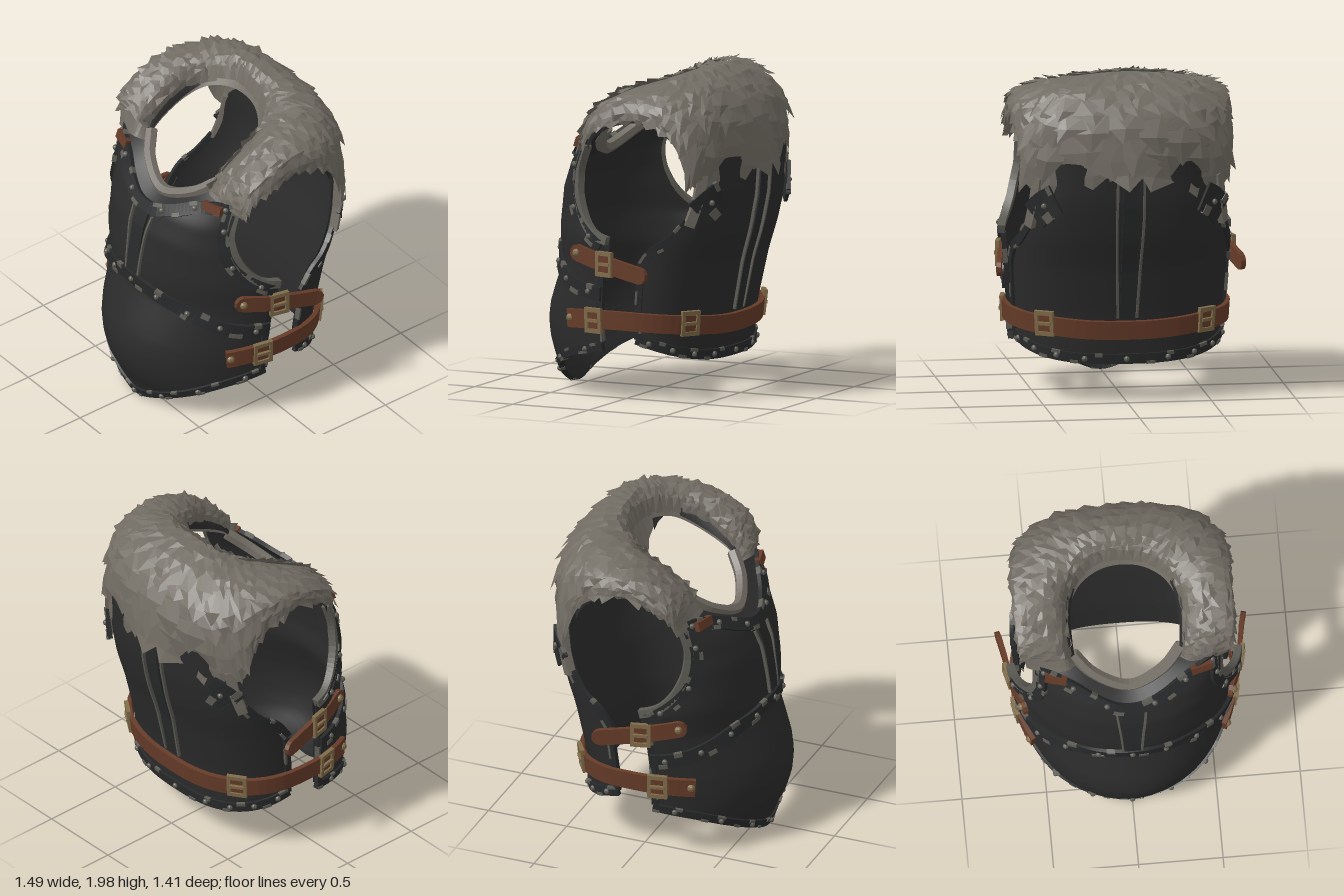
import * as THREE from 'three';

const mat = (name, color, flatShading = false) =>
  new THREE.MeshStandardMaterial({ name, color, flatShading, side: THREE.DoubleSide });
const V = (x, y, z) => new THREE.Vector3(x, y, z);
const rad = Math.PI / 180;

// Small seeded random
let seed = 7;
const rnd = () => (seed = (seed * 16807) % 2147483647) / 2147483647;

// Piecewise linear lookup
function look(table, y) {
  if (y <= table[0][0]) return table[0][1];
  for (let i = 1; i < table.length; i++) {
    const [y0, v0] = table[i - 1], [y1, v1] = table[i];
    if (y <= y1) return v0 + (v1 - v0) * (y - y0) / (y1 - y0);
  }
  return table[table.length - 1][1];
}
// Torso half widths, front depth and back depth by height
const WIDTH = [[0, .6], [.3, .62], [.6, .635], [.95, .665], [1.1, .63], [1.3, .6], [1.7, .6]];
const BACK_WIDTH = [[.2, .61], [.6, .635], [.95, .655], [1.7, .63]];
const FRONT = [[0, .575], [.1, .61], [.2, .66], [.3, .69], [.4, .7], [.5, .685], [.6, .65], [.78, .58], [.9, .59], [1, .58], [1.2, .55], [1.35, .49], [1.5, .38]];
const BACK = [[.2, .45], [.5, .48], [.8, .54], [1, .6], [1.2, .64], [1.5, .66]];

// Torso surface: angle 0 is front centre, 180 is back centre
function torso(deg, y) {
  const s = Math.sin(deg * rad), c = Math.cos(deg * rad), front = c > 0;
  const n = look(front ? [[.9, 1.92], [1.5, 2.5]] : [[.5, 2.6], [1.1, 3.1]], y);
  const pw = v => Math.sign(v) * Math.abs(v) ** (2 / n);
  return V(look(front ? WIDTH : BACK_WIDTH, y) * pw(s), y, look(front ? FRONT : BACK, y) * pw(c));
}
function torsoNormal(deg, y) {
  const da = torso(deg + 3, y).sub(torso(deg - 3, y));
  const dy = torso(deg, y + .04).sub(torso(deg, y - .04));
  return da.cross(dy).normalize();
}
const mirror = pts => [...pts.slice(1).reverse().map(([a, y]) => [-a, y]), ...pts];
const spline = pts => new THREE.SplineCurve(pts.map(p => new THREE.Vector2(...p)));

function meshData(pos, idx) {
  const g = new THREE.BufferGeometry();
  g.setAttribute('position', new THREE.Float32BufferAttribute(pos, 3));
  if (idx) g.setIndex(idx);
  g.computeVertexNormals();
  return g;
}
// Surface grid from fn(s, t); s cross t points outward
function gridGeometry(fn, ns, nt) {
  const pos = [], idx = [];
  for (let i = 0; i <= ns; i++) for (let j = 0; j <= nt; j++) pos.push(...fn(i / ns, j / nt).toArray());
  for (let i = 0; i < ns; i++) for (let j = 0; j < nt; j++) {
    const a = i * (nt + 1) + j, b = a + nt + 1;
    idx.push(a, b, a + 1, b, b + 1, a + 1);
  }
  return meshData(pos, idx);
}
// Rectangular strip swept along frames {p, n}
function stripGeometry(frames, w, t) {
  const pos = [], idx = [], last = frames.length - 1;
  frames.forEach(({ p, n }, i) => {
    const tan = frames[Math.min(i + 1, last)].p.clone().sub(frames[Math.max(i - 1, 0)].p).normalize();
    const side = n.clone().cross(tan).normalize().multiplyScalar(w / 2);
    for (const [s, h] of [[-1, 0], [1, 0], [1, t], [-1, t]])
      pos.push(...p.clone().addScaledVector(side, s).addScaledVector(n, h).toArray());
  });
  for (let i = 0; i < last; i++) for (let k = 0; k < 4; k++) {
    const a = i * 4 + k, b = i * 4 + (k + 1) % 4;
    idx.push(a, b, a + 4, b, b + 4, a + 4);
  }
  const e = last * 4;
  idx.push(0, 2, 1, 0, 3, 2, e, e + 1, e + 2, e, e + 2, e + 3);
  return meshData(pos, idx);
}

export function createModel() {
  const model = new THREE.Group();
  const leather = mat('black leather', 0x2b2b2b), trim = mat('dark trim', 0x28292a, true);
  const worn = mat('worn edge grey', 0x5d5c55, true), fur = mat('grey fur', 0x716c63, true);
  const brown = mat('brown strap', 0x653b28, true), brass = mat('dull brass', 0x7f6b49, true);
  const add = (name, geo, m) => {
    const mesh = new THREE.Mesh(geo, m);
    mesh.name = name;
    model.add(mesh);
    return mesh;
  };

  // Strip lying on the torso, with optional worn chips on its edges and rivets
  function band(name, pts, { base = 0, w = .07, t = .025, off = 0, m = trim, chips = 0, rivets = 0, n = 40 } = {}) {
    const c = spline(pts);
    const frame = (u, extra = 0) => {
      const q = c.getPoint(u), nn = torsoNormal(q.x + base, q.y);
      return { p: torso(q.x + base, q.y).addScaledVector(nn, off + extra), n: nn };
    };
    const run = (u0, u1, k) => Array.from({ length: k + 1 }, (_, i) => frame(u0 + (u1 - u0) * i / k));
    add(name, stripGeometry(run(0, 1, n), w, t), m);
    for (let i = 0; i < chips; i++) {
      const u = (i + rnd() * .5) / chips, frames = run(u, u + (.25 + rnd() * .25) / chips, 4);
      const edge = (i % 2 ? .38 : -.38) * w;
      const tan = frames[4].p.clone().sub(frames[0].p).normalize();
      for (const f of frames) f.p.addScaledVector(f.n.clone().cross(tan), edge);
      add(name + 'Chip', stripGeometry(frames, w * .32, t + .005), worn);
    }
    for (let i = 0; i < rivets; i++) {
      const r = add(name + 'Rivet', new THREE.SphereGeometry(.018, 8, 6), worn);
      r.position.copy(frame((i + .5) / rivets, t).p);
    }
  }
  // Plate between a lower and an upper edge on the torso, with an inner face
  function plate(name, low, up, base, off) {
    const a = spline(mirror(low)), b = spline(mirror(up));
    for (const [part, depth] of [['', off], ['Inner', off - .03]])
      add(name + part, gridGeometry((s, v) => {
        const q = a.getPoint(s).lerp(b.getPoint(s), v);
        return torso(q.x + base, q.y).addScaledVector(torsoNormal(q.x + base, q.y), depth);
      }, 64, 20), leather);
  }

  // Plates
  const bellyLow = [[0, .02], [20, .09], [40, .18], [60, .26], [81, .31]];
  const bellyUp = [[0, .86], [20, .83], [40, .75], [60, .67], [81, .63]];
  const chestLow = [[0, .85], [10, .84], [20, .81], [30, .78], [40, .74], [50, .7], [62, .66], [72, .64], [81, .63]];
  const chestUp = [[0, 1.335], [15, 1.385], [28, 1.45], [44, 1.49], [57, 1.49], [59, 1.3], [66, 1.1], [75, .99], [86, .95]];
  const backLow = [0, 10, 20, 30, 40, 50, 60, 70, 80].map(d => [d, .25 + .12 * (d / 80) ** 2]);
  const backUp = [[0, 1.45], [15, 1.45], [30, 1.45], [47, 1.38], [50, 1.2], [54.5, 1.08], [64, .97], [74, .9], [80, .79]];
  plate('bellyPlate', bellyLow, bellyUp, 0, 0);
  plate('chestPlate', chestLow, chestUp, 0, .012);
  plate('backPlate', backLow, backUp, 180, 0);

  // Trims
  band('bellyHem', mirror(bellyLow), { w: .05, off: -.02, t: .033, chips: 16, rivets: 7, n: 60 });
  band('chestArchBand', mirror(chestLow), { w: .085, off: .008, chips: 12, rivets: 9, n: 60 });
  band('necklineBand', mirror(chestUp.slice(0, 5)), { w: .075, off: .008, chips: 10, rivets: 6, n: 50 });
  band('sternumBand', [[0, .9], [0, 1.1], [0, 1.31]], { w: .1, off: .012, t: .015, n: 12 });
  band('backHem', mirror(backLow), { base: 180, w: .06, off: -.012, chips: 12, rivets: 9, n: 50 });
  band('spineBand', [[0, .5], [0, .9], [0, 1.42]], { base: 180, w: .09, t: .012, n: 16 });
  for (const s of [-1, 1]) {
    const side = pts => pts.map(([a, y]) => [a * s, y]);
    band('sternumEdge', side([[5, .9], [5.2, 1.1], [6, 1.3]]), { w: .012, off: .014, t: .018, m: worn, n: 12 });
    band('spineEdge', side([[2.5, .5], [2.3, .9], [2.2, 1.42]]), { base: 180, w: .014, t: .018, m: worn, n: 16 });
    band('frontArmholeBand', side([[53, 1.47], [54, 1.3], [60, 1.12], [70, 1.0], [82, .92]]), { w: .07, off: .008, chips: 5, rivets: 3, n: 24 });
    band('frontArmholeFringe', side(chestUp.slice(4)), { w: .05, off: -.012, t: .045, m: worn, n: 24 });
    band('backArmholeFringe', side([[47, 1.36], [49.5, 1.2], [53, 1.06]]), { base: 180, w: .06, off: -.015, t: .05, m: fur, n: 16 });
    band('backArmholeBand', side(backUp.slice(5)), { base: 180, w: .055, off: -.01, chips: 3, n: 20 });
    band('shoulderBladeFlap', side([[32, 1.24], [40, 1.2], [48, 1.13]]), { base: 180, w: .18, off: .015, t: .02, chips: 2, rivets: 1, n: 8 });
    band('frontSideEdge', side([[80, .33], [80, .6], [81, .92]]), { w: .04, off: -.015, t: .03, chips: 3, n: 12 });
    band('backSideEdge', side([[79, .37], [79, .55], [79, .78]]), { base: 180, w: .04, off: -.015, t: .03, chips: 2, n: 12 });
  }

  // Buckle: square frame with a prong, facing along n
  const frameShape = new THREE.Shape([[-.06, -.075], [.06, -.075], [.06, .075], [-.06, .075]].map(p => new THREE.Vector2(...p)));
  frameShape.holes.push(new THREE.Path([[-.038, -.05], [-.038, .05], [.038, .05], [.038, -.05]].map(p => new THREE.Vector2(...p))));
  const frameGeo = new THREE.ExtrudeGeometry(frameShape, { depth: .025, bevelEnabled: false });
  function buckle(p, n) {
    const g = new THREE.Group();
    g.name = 'buckle';
    const prong = new THREE.Mesh(new THREE.BoxGeometry(.09, .018, .02).translate(0, 0, .022), brass);
    prong.name = 'buckleProng';
    const ring = new THREE.Mesh(frameGeo, brass);
    ring.name = 'buckleFrame';
    g.add(ring, prong);
    g.position.copy(p);
    g.lookAt(p.clone().add(n));
    model.add(g);
  }

  // Waist belt running round the back
  band('waistBelt', [[60, .46], [90, .48], [135, .46], [180, .43], [225, .46], [270, .48], [300, .46]],
    { w: .11, t: .028, off: .012, m: brown, n: 48 });
  for (const a of [78, 138, 222, 282]) buckle(torso(a, .47).addScaledVector(torsoNormal(a, .47), .025), torsoNormal(a, .47));
  for (const a of [62, 298])
    add('beltRivet', new THREE.SphereGeometry(.025, 8, 6), brass).position.copy(torso(a, .465).addScaledVector(torsoNormal(a, .465), .035));

  for (const s of [-1, 1]) {
    // Side straps, free at the rear end
    const c = new THREE.CatmullRomCurve3([V(.6, .86, .26), V(.655, .83, .11), V(.68, .79, -.06), V(.705, .765, -.2)].map(p => p.setX(p.x * s)));
    const n = V(s, 0, .25).normalize();
    const frames = Array.from({ length: 13 }, (_, i) => ({ p: c.getPoint(i / 12), n }));
    add('sideStrap', stripGeometry(frames, .1, .028), brown);
    for (const u of [0, 1]) {
      const end = add('strapTip', new THREE.CylinderGeometry(.05, .05, .028, 10), brown);
      end.position.copy(c.getPoint(u)).addScaledVector(n, .014);
      end.quaternion.setFromUnitVectors(V(0, 1, 0), n);
    }
    buckle(c.getPoint(.46).addScaledVector(n, .012), n);
    add('strapRivet', new THREE.SphereGeometry(.025, 8, 6), brass).position.copy(c.getPoint(0)).addScaledVector(n, .028);
    // Shoulder tabs
    const tab = add('shoulderTab', new THREE.BoxGeometry(.13, .055, .035), brown);
    tab.position.set(.43 * s, 1.495, .345);
    tab.rotation.set(-.3, .25 * s, .08 * s);
  }

  // Neck rim and the lining that joins it to the chest
  const neck = new THREE.CatmullRomCurve3([V(-.32, 1.57, .22), V(-.21, 1.475, .315), V(0, 1.395, .38), V(.21, 1.475, .315), V(.32, 1.57, .22)]);
  add('neckRim', new THREE.TubeGeometry(neck, 24, .038, 6), fur);
  const chestTop = spline(mirror(chestUp));
  add('neckLining', gridGeometry((s, t) => {
    const q = chestTop.getPoint(.5 + (s - .5) * .45);
    return torso(q.x, q.y).lerp(neck.getPoint(s), t);
  }, 24, 4), leather);

  // Fur mantle: cross-sections from front end to back centre, neck edge to outer edge
  const sections = [
    [[.30, 1.52, .27], [.36, 1.54, .315], [.45, 1.52, .305], [.57, 1.48, .265], [.6, 1.45, .24]],
    [[.32, 1.59, .18], [.37, 1.68, .215], [.49, 1.7, .2], [.62, 1.66, .19], [.61, 1.54, .18]],
    [[.32, 1.69, -.01], [.36, 1.81, -.01], [.48, 1.84, -.04], [.625, 1.78, -.08], [.62, 1.64, -.1]],
    [[.25, 1.77, -.13], [.31, 1.89, -.19], [.45, 1.88, -.31], [.605, 1.75, -.34], [.63, 1.52, -.36]],
    [[.13, 1.81, -.2], [.18, 1.93, -.29], [.34, 1.86, -.47], [.49, 1.65, -.55], [.6, 1.2, -.46]],
    [[0, 1.82, -.22], [0, 1.945, -.31], [0, 1.87, -.5], [0, 1.65, -.645], [0, 1.29, -.665]],
  ];
  const rails = [0, 1, 2, 3, 4].map(k => {
    const half = sections.map(s => V(...s[k]));
    return new THREE.CatmullRomCurve3([...half, ...half.slice(0, 5).reverse().map(p => V(-p.x, p.y, p.z))]);
  });
  const furAt = (v, t) => new THREE.CatmullRomCurve3(rails.map(r => r.getPoint(t))).getPoint(v);
  add('furMantle', gridGeometry((s, t) => furAt(s * .95, t), 14, 60), fur);

  // Dark lining under each shoulder
  for (const t0 of [.02, .66])
    add('shoulderLining', gridGeometry((s, t) => {
      const p = furAt(.1 + s * .85, t0 + t * .32);
      return p.addScaledVector(V(0, 1.3, -.1).sub(p).normalize(), .035);
    }, 10, 16), leather);

  // Broad overlapping tufts lying close to the mantle
  const tufts = [];
  for (let i = 0; i < 9; i++) for (let j = 0; j < 30; j++) {
    const v = .03 + i * .096 + rnd() * .04, t = .03 + .94 * (j + (i % 2) * .5 + rnd() * .4) / 31;
    const u = t * 2 - 1, half = .017 + rnd() * .007;
    const tTip = Math.min(.995, Math.max(.005, t + u * Math.abs(u) * .012 + (rnd() - .5) * .025));
    const vTip = Math.min(.95 + rnd() * .05, v + .16 + rnd() * .08), vMid = v * .35 + vTip * .65;
    const l = furAt(v, t - half), r = furAt(v, t + half), tip = furAt(vTip, tTip);
    const n = tip.clone().sub(l).cross(r.clone().sub(l)).normalize();
    const mid = furAt(vMid, (t + tTip) / 2).addScaledVector(n, .022);
    const ml = furAt(vMid, t - half * .9).addScaledVector(n, .014);
    const mr = furAt(vMid, t + half * .9).addScaledVector(n, .014);
    tip.addScaledVector(n, .012 + rnd() * .035);
    for (const q of [l, ml, mid, l, mid, r, r, mid, mr, ml, tip, mid, mid, tip, mr]) tufts.push(q.x, q.y, q.z);
  }
  add('furTufts', meshData(tufts), fur);

  return model;
}
